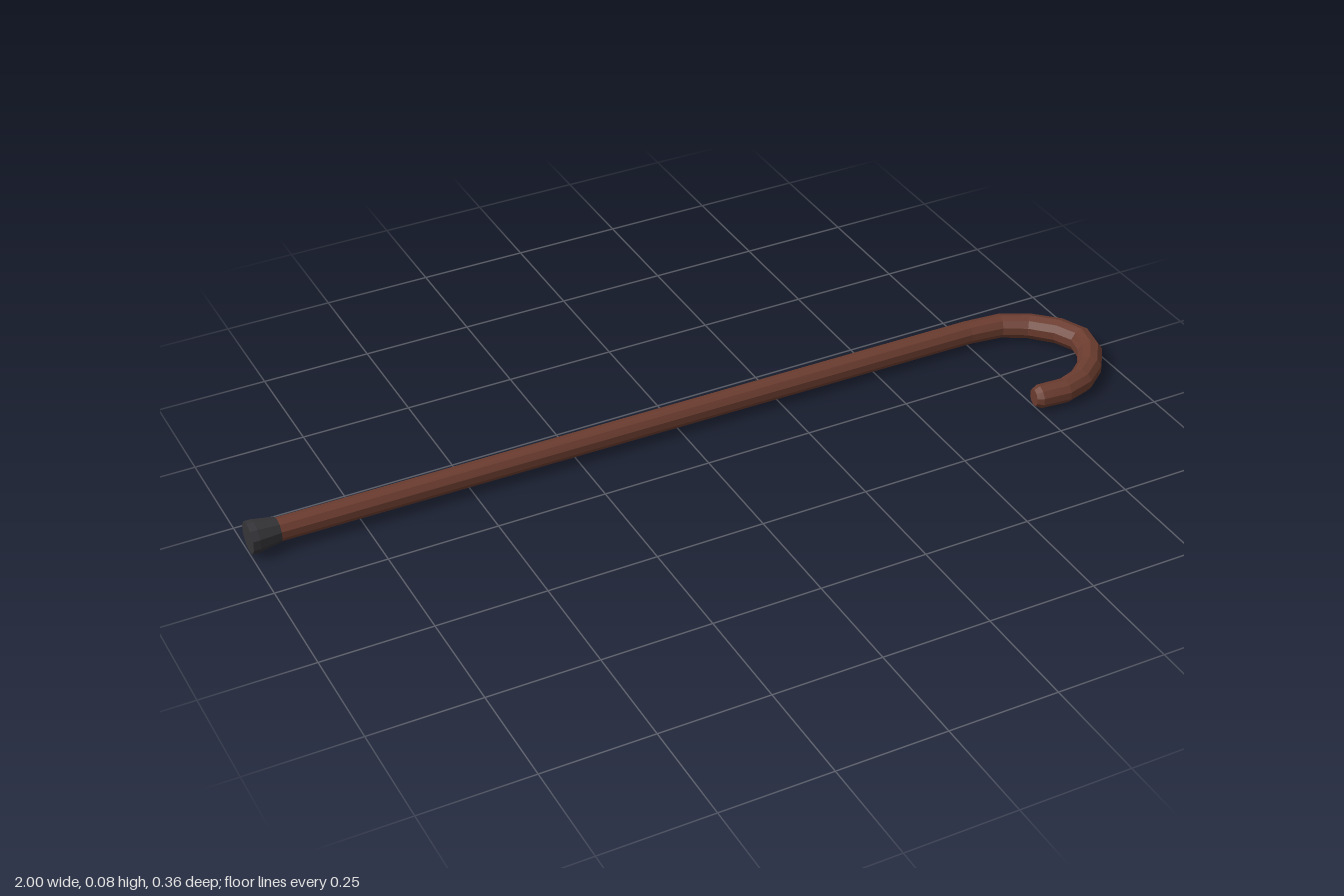
import * as THREE from 'three';

const SIDES = 10;

// Closed faceted loft along stations [x, y, z, radius]
function loft(stations) {
  const up = new THREE.Vector3(0, 1, 0);
  const centres = stations.map(([x, y, z]) => new THREE.Vector3(x, y, z));
  const last = centres.length - 1;
  const rings = centres.map((c, i) => {
    const t = centres[Math.min(i + 1, last)].clone().sub(centres[Math.max(i - 1, 0)]).normalize();
    const side = t.clone().cross(up).normalize();
    const top = side.clone().cross(t);
    return Array.from({ length: SIDES }, (_, j) => {
      const a = (j / SIDES) * Math.PI * 2;
      return c.clone()
        .addScaledVector(top, Math.cos(a) * stations[i][3])
        .addScaledVector(side, Math.sin(a) * stations[i][3]);
    });
  });
  const points = [];
  for (let j = 0; j < SIDES; j++) {
    const k = (j + 1) % SIDES;
    for (let i = 0; i < last; i++) {
      const a = rings[i][j], b = rings[i][k], c = rings[i + 1][j], d = rings[i + 1][k];
      points.push(a, b, c, b, d, c);
    }
    points.push(centres[0], rings[0][k], rings[0][j]);
    points.push(centres[last], rings[last][j], rings[last][k]);
  }
  const geometry = new THREE.BufferGeometry().setFromPoints(points);
  geometry.computeVertexNormals();
  return geometry;
}

export function createModel() {
  const wood = new THREE.MeshStandardMaterial({ color: 0x6b3c2f });
  wood.name = 'brown wood';
  const rubber = new THREE.MeshStandardMaterial({ color: 0x353438 });
  rubber.name = 'dark rubber';

  const group = new THREE.Group();
  group.name = 'walkingStick';
  const add = (name, stations, material) => {
    const mesh = new THREE.Mesh(loft(stations), material);
    mesh.name = name;
    group.add(mesh);
  };

  // Straight shaft, sloping slightly, flowing into the crook with a rounded tip
  add('shaftAndCrook', [
    [-0.95, 0.044, -0.148, 0.026],
    [0.75, 0.034, -0.148, 0.027],
    [0.835, 0.033, -0.14, 0.028],
    [0.895, 0.032, -0.11, 0.029],
    [0.945, 0.032, -0.06, 0.03],
    [0.969, 0.032, -0.005, 0.03],
    [0.957, 0.032, 0.05, 0.03],
    [0.923, 0.032, 0.1, 0.029],
    [0.875, 0.032, 0.137, 0.029],
    [0.82, 0.031, 0.153, 0.028],
    [0.757, 0.031, 0.148, 0.027],
    [0.744, 0.031, 0.146, 0.02],
  ], wood);

  // Flared foot
  add('footCap', [
    [-1, 0.045, -0.147, 0.036],
    [-0.985, 0.045, -0.147, 0.036],
    [-0.935, 0.044, -0.148, 0.028],
  ], rubber);

  // Rest the lowest point on the ground
  const box = new THREE.Box3().setFromObject(group);
  group.children.forEach((m) => m.geometry.translate(0, -box.min.y, 0));
  return group;
}
